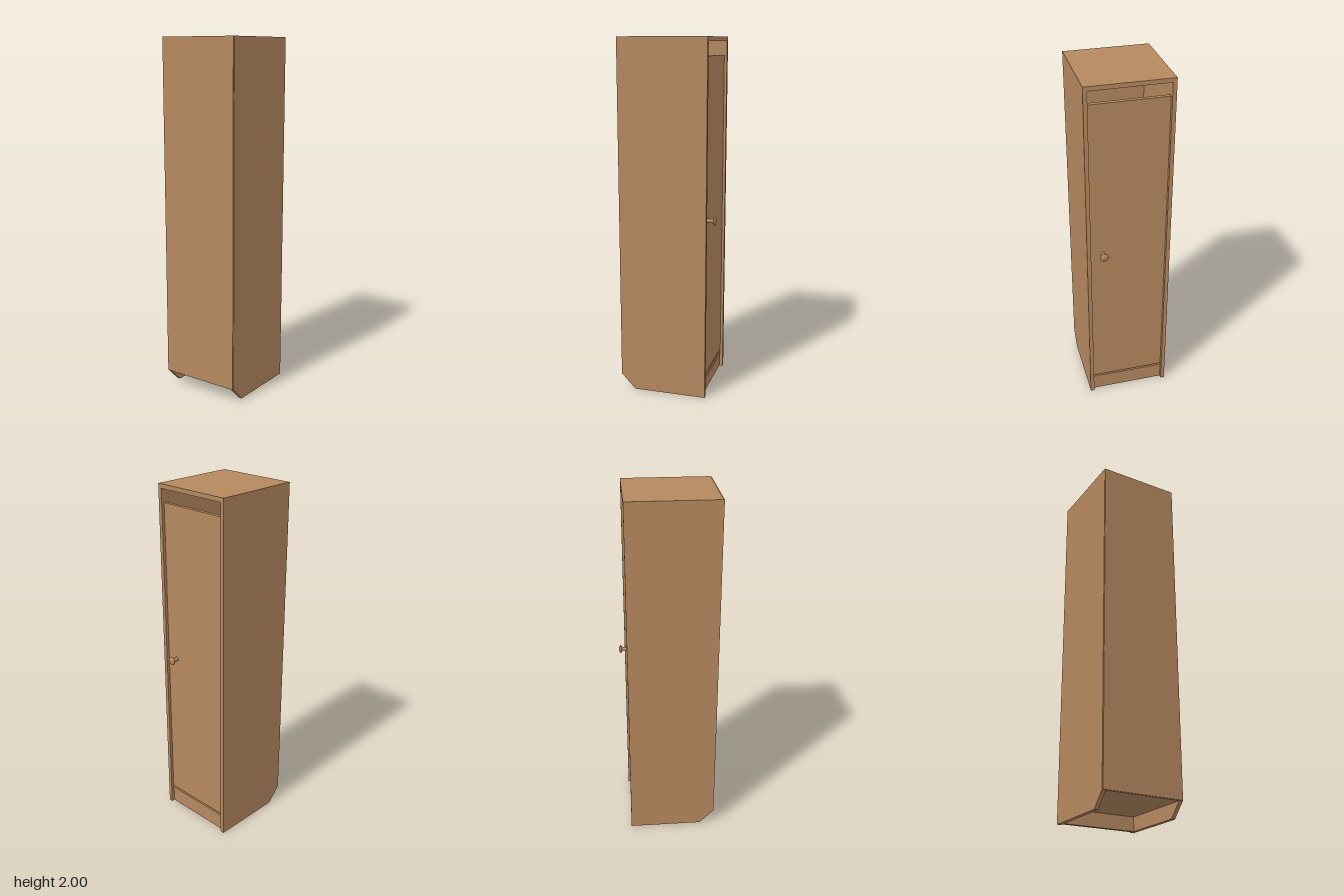
import * as THREE from 'three';

const wood = new THREE.MeshStandardMaterial({ color: 0xb5885f });
wood.name = 'wood';

// Box given by its min and max on each axis
function board(name, [x0, x1], [y0, y1], [z0, z1]) {
  const mesh = new THREE.Mesh(new THREE.BoxGeometry(x1 - x0, y1 - y0, z1 - z0), wood);
  mesh.position.set((x0 + x1) / 2, (y0 + y1) / 2, (z0 + z1) / 2);
  mesh.name = name;
  return mesh;
}

// Upright side board with a cut-off lower corner; outerX is its +x face
function sideBoard(name, outerX, thickness) {
  const outline = new THREE.Shape([
    [-0.232, 0], [0.183, 0], [0.262, 0.082], [0.262, 1.976], [-0.232, 1.976],
  ].map(([z, y]) => new THREE.Vector2(z, y)));
  const geometry = new THREE.ExtrudeGeometry(outline, { depth: thickness, bevelEnabled: false });
  geometry.rotateY(-Math.PI / 2);
  const mesh = new THREE.Mesh(geometry, wood);
  mesh.position.x = outerX;
  mesh.name = name;
  return mesh;
}

export function createModel() {
  const cabinet = new THREE.Group();
  cabinet.name = 'cabinet';
  const left = 0.235, right = -0.237, thick = 0.022;
  const inside = [right + thick, left - thick];

  // Carcass
  cabinet.add(
    sideBoard('leftSide', left, thick),
    sideBoard('rightSide', right + thick, thick),
    board('topBoard', [right, left], [1.976, 2], [-0.232, 0.262]),
    board('bottomShelf', inside, [0.08, 0.102], [-0.217, 0.262]),
    board('kickBoard', inside, [0, 0.08], [-0.212, -0.19]),
    board('coverPanel', [right + 0.003, left - 0.003], [0.082, 1.998], [0.262, 0.267]),
  );

  // Door, set back between the sides, open above
  cabinet.add(board('door', [inside[0] + 0.002, inside[1] - 0.002], [0.113, 1.9], [-0.217, -0.195]));

  // Turned knob
  const profile = new THREE.SplineCurve([
    [0.011, 0], [0.0105, 0.015], [0.0105, 0.025], [0.014, 0.032], [0.023, 0.039],
  ].map(([r, h]) => new THREE.Vector2(r, h))).getPoints(12);
  const cap = [[0.0235, 0.042], [0.018, 0.047], [0.01, 0.05], [0, 0.051]]
    .map(([r, h]) => new THREE.Vector2(r, h));
  const knob = new THREE.Mesh(new THREE.LatheGeometry([...profile, ...cap], 32), wood);
  knob.rotation.x = -Math.PI / 2;
  knob.position.set(0.144, 1.015, -0.217);
  knob.name = 'knob';
  cabinet.add(knob);

  return cabinet;
}
